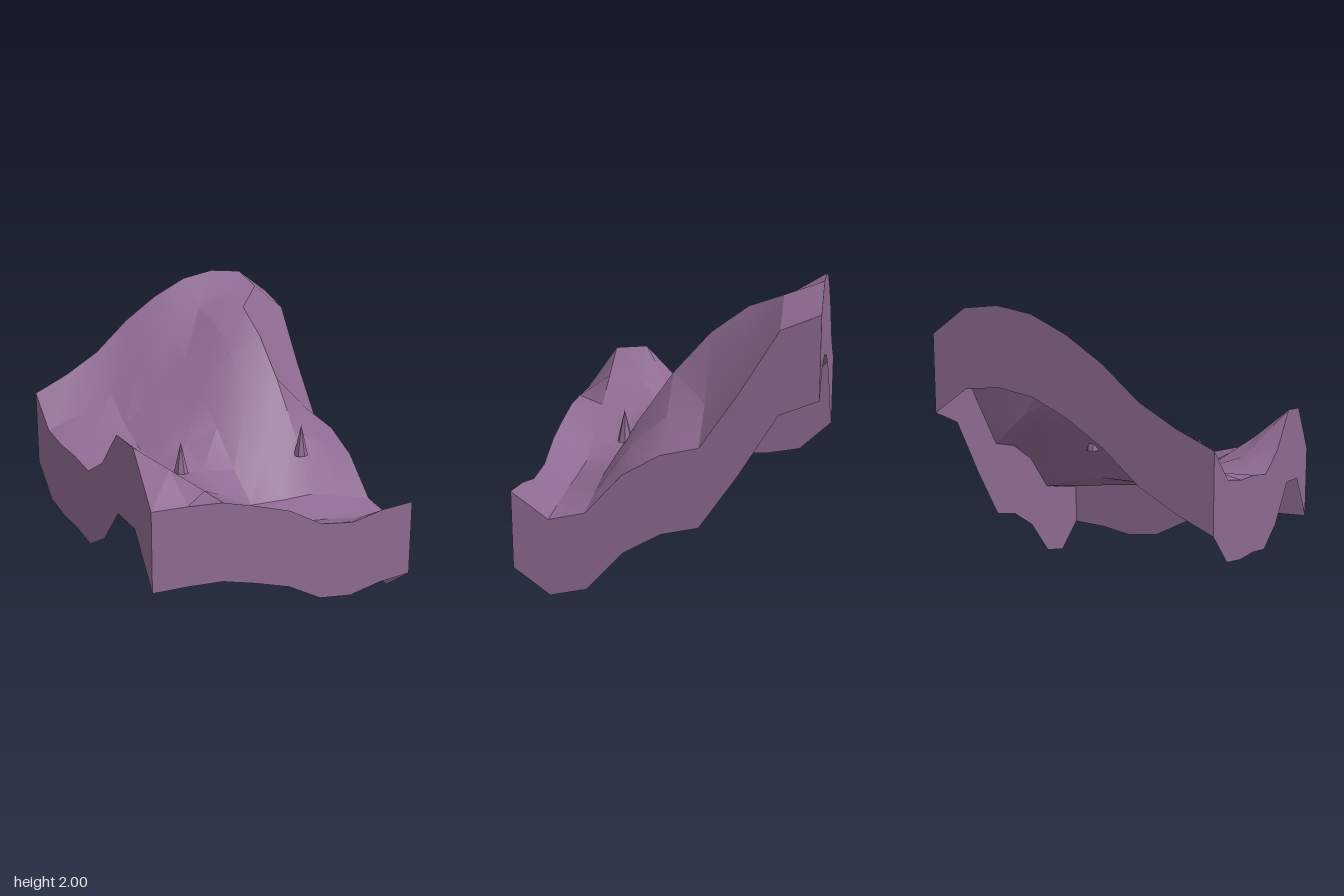
import * as THREE from 'three';
import { toCreasedNormals } from 'three/addons/utils/BufferGeometryUtils.js';

const HALF = 0.94, N = 8, STEP = (2 * HALF) / N, SKIRT = 0.5;

// Surface heights: rows run from back to front, columns from -x to +x
const HEIGHTS = [
  [1.22, 1.33, 1.47, 1.68, 1.84, 1.955, 2.0, 1.98, 1.815],
  [1.005, 1.09, 1.22, 1.46, 1.66, 1.765, 1.86, 1.895, 1.72],
  [0.96, 0.99, 1.04, 1.24, 1.45, 1.7, 1.79, 1.59, 1.34],
  [0.945, 0.935, 0.93, 1.08, 1.26, 1.52, 1.62, 1.22, 1.0],
  [0.905, 0.9, 0.89, 0.985, 1.07, 1.27, 1.36, 1.13, 0.945],
  [1.02, 0.96, 0.88, 0.86, 0.84, 0.95, 1.03, 0.93, 0.81],
  [1.26, 1.06, 0.89, 0.77, 0.66, 0.655, 0.66, 0.61, 0.555],
  [1.24, 1.07, 0.9, 0.76, 0.61, 0.58, 0.56, 0.53, 0.5],
  [0.915, 0.91, 0.895, 0.835, 0.765, 0.64, 0.61, 0.655, 0.67],
];

export function createModel() {
  const model = new THREE.Group();
  const rock = new THREE.MeshStandardMaterial({ color: 0x8e6b91, side: THREE.DoubleSide });
  rock.name = 'mauve rock';

  const add = (name, geometry) => {
    const mesh = new THREE.Mesh(geometry, rock);
    mesh.name = name;
    model.add(mesh);
    return mesh;
  };

  // Rolling ground: a plane raised by the height grid
  const ground = new THREE.PlaneGeometry(2 * HALF, 2 * HALF, N, N);
  ground.rotateX(-Math.PI / 2);
  const pos = ground.attributes.position;
  for (let k = 0; k < pos.count; k++) pos.setY(k, HEIGHTS[Math.floor(k / (N + 1))][k % (N + 1)]);
  add('terrainSurface', toCreasedNormals(ground, 0.45));

  // Skirt walls: strips hanging a fixed depth below each border
  const wall = (name, cell) => {
    const points = [], index = [];
    for (let k = 0; k <= N; k++) {
      const [i, j] = cell(k);
      const x = -HALF + i * STEP, z = -HALF + j * STEP, y = HEIGHTS[j][i];
      points.push(x, y, z, x, y - SKIRT, z);
      if (k < N) index.push(2 * k, 2 * k + 1, 2 * k + 2, 2 * k + 1, 2 * k + 3, 2 * k + 2);
    }
    const g = new THREE.BufferGeometry();
    g.setAttribute('position', new THREE.Float32BufferAttribute(points, 3));
    g.setIndex(index);
    g.computeVertexNormals();
    add(name, g);
  };
  wall('frontWall', (k) => [k, N]);
  wall('leftWall', (k) => [N, N - k]);
  wall('backWall', (k) => [N - k, 0]);
  wall('rightWall', (k) => [0, k]);

  // Small pointed spikes standing on the slope
  const spike = new THREE.ConeGeometry(0.05, 0.208, 7).toNonIndexed();
  spike.computeVertexNormals();
  for (const [x, base, z] of [[-0.39, 0.869, 0.23], [0.47, 0.894, 0.32]]) {
    add('spike', spike).position.set(x, base + 0.104, z);
  }

  return model;
}
